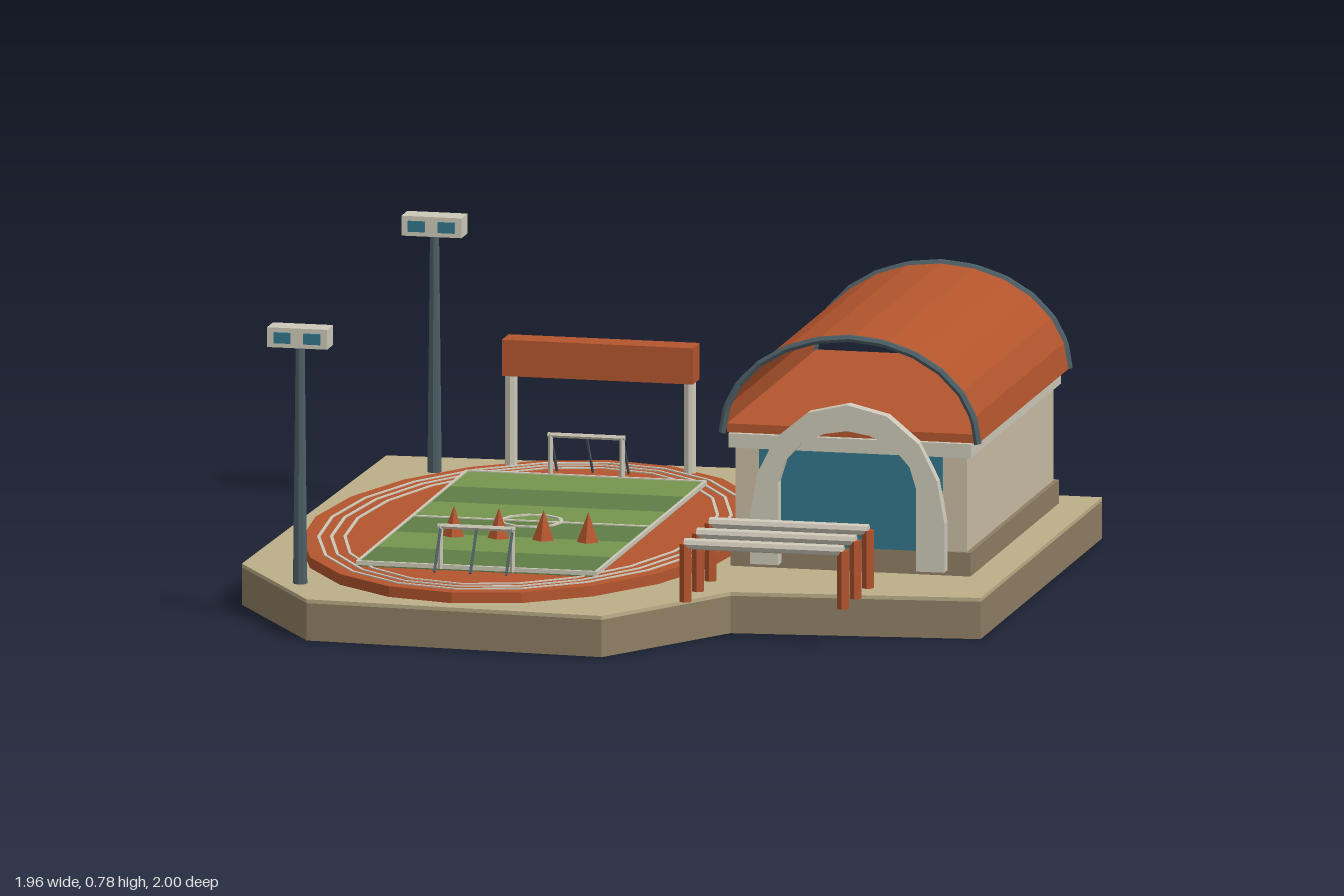
import * as THREE from 'three';

const mats = {};
function mat(color) {
  return mats[color] ??= new THREE.MeshStandardMaterial({ color, flatShading: true, side: THREE.DoubleSide });
}
const SAND = 0xbcae88, BROWN = 0x8f7e63, ORANGE = 0xb4552e, CREAM = 0xcdc8b8, WALL = 0xc9bda3;
const BLUE = 0x33758c, STEEL = 0x4d5f66, LIGHT = 0x77954f, DARK = 0x5e7d47;

function add(parent, name, geo, color, x = 0, y = 0, z = 0) {
  const m = new THREE.Mesh(geo, mat(color));
  m.name = name;
  m.position.set(x, y, z);
  parent.add(m);
  return m;
}

// box given by its limits on each axis
function block(parent, name, color, x0, x1, y0, y1, z0, z1) {
  return add(parent, name, new THREE.BoxGeometry(x1 - x0, y1 - y0, z1 - z0), color,
    (x0 + x1) / 2, (y0 + y1) / 2, (z0 + z1) / 2);
}

// round bar between two points
function bar(parent, name, color, a, b, r, r2 = r, sides = 8) {
  const p = new THREE.Vector3(...a), q = new THREE.Vector3(...b), d = q.clone().sub(p);
  const m = add(parent, name, new THREE.CylinderGeometry(r2, r, d.length(), sides), color);
  m.position.copy(p).add(q).multiplyScalar(0.5);
  m.quaternion.setFromUnitVectors(new THREE.Vector3(0, 1, 0), d.normalize());
  return m;
}

// flat outline in x and z, raised from y0 to y1
function plate(parent, name, color, pts, y0, y1, hole) {
  const flip = list => list.map(([x, z]) => new THREE.Vector2(x, -z));
  const shape = new THREE.Shape(flip(pts));
  if (hole) shape.holes.push(new THREE.Path(flip(hole)));
  const geo = new THREE.ExtrudeGeometry(shape, { depth: y1 - y0, bevelEnabled: false });
  geo.rotateX(-Math.PI / 2);
  return add(parent, name, geo, color, 0, y0, 0);
}

function oval(cx, cz, rx, rz, n) {
  return Array.from({ length: n }, (_, i) => {
    const a = i / n * Math.PI * 2;
    return [cx + rx * Math.cos(a), cz + rz * Math.sin(a)];
  });
}

function group(parent, name) {
  const g = new THREE.Group();
  g.name = name;
  parent.add(g);
  return g;
}

function buildField(root) {
  const g = group(root, 'sportsField'), cx = -0.335, cz = 0.018;
  plate(g, 'runningTrack', ORANGE, oval(cx, cz, 0.57, 0.9, 20), 0.105, 0.136);
  for (const d of [0.04, 0.073, 0.108])
    plate(g, 'laneLine', CREAM, oval(cx, cz, 0.57 - d, 0.9 - d, 20), 0.13, 0.139,
      oval(cx, cz, 0.562 - d, 0.892 - d, 20));

  // striped turf
  for (let i = 0; i < 6; i++) {
    const z = -0.6 + i * 0.2055;
    block(g, 'turfStripe', i % 2 ? DARK : LIGHT, -0.65, -0.02, 0.13, 0.148, z, z + 0.2055);
  }
  // field markings
  for (const z of [-0.6, 0.015, 0.633])
    block(g, 'crossLine', CREAM, -0.653, -0.017, 0.14, 0.151, z - 0.005, z + 0.005);
  for (const x of [-0.65, -0.02])
    block(g, 'sideLine', CREAM, x - 0.004, x + 0.004, 0.14, 0.151, -0.6, 0.633);
  plate(g, 'centreCircle', CREAM, oval(cx, 0.015, 0.085, 0.085, 10), 0.145, 0.152,
    oval(cx, 0.015, 0.075, 0.075, 10));

  // training cones
  for (const x of [-0.487, -0.368, -0.25, -0.132])
    add(g, 'trainingCone', new THREE.ConeGeometry(0.03, 0.078, 5), ORANGE, x, 0.187, 0.24);

  // goals with slanted stays
  for (const [z, s] of [[-0.603, -1], [0.636, 1]]) {
    const goal = group(g, 'goal');
    for (const x of [-0.43, -0.24])
      bar(goal, 'goalPost', CREAM, [x, 0.14, z], [x, 0.255, z], 0.007, 0.007, 6);
    bar(goal, 'crossbar', CREAM, [-0.437, 0.252, z], [-0.233, 0.252, z], 0.007, 0.007, 6);
    for (const x of [-0.43, -0.335, -0.24])
      bar(goal, 'goalStay', STEEL, [x, 0.25, z], [x, 0.145, z + s * 0.072], 0.004, 0.004, 5);
  }
}

function buildHall(root) {
  const g = group(root, 'sportsHall'), cx = 0.567;
  block(g, 'plinth', BROWN, 0.25, 0.885, 0.1, 0.17, -0.73, 0.27);
  block(g, 'walls', WALL, 0.262, 0.873, 0.17, 0.42, -0.72, 0.26);
  block(g, 'cornice', CREAM, 0.247, 0.888, 0.42, 0.457, -0.74, 0.28);
  block(g, 'roofDeck', ORANGE, 0.24, 0.895, 0.457, 0.48, -0.74, 0.265);

  // open barrel roof with rim tubes
  const roof = new THREE.CylinderGeometry(1, 1, 1.03, 12, 1, true, Math.PI / 2, Math.PI);
  roof.rotateX(-Math.PI / 2);
  roof.scale(0.338, 0.262, 1);
  const lift = new THREE.Box3().setFromBufferAttribute(roof.attributes.position);
  if (lift.max.y < 0.1) roof.rotateZ(Math.PI);
  add(g, 'barrelRoof', roof, ORANGE, cx, 0.457, -0.245);
  const arc = Array.from({ length: 13 }, (_, i) => {
    const a = i / 12 * Math.PI;
    return [cx + 0.338 * Math.cos(a), 0.457 + 0.262 * Math.sin(a)];
  });
  for (const z of [-0.757, 0.272]) {
    const rim = new THREE.CurvePath();
    for (let i = 0; i < 12; i++)
      rim.add(new THREE.LineCurve3(new THREE.Vector3(...arc[i], z), new THREE.Vector3(...arc[i + 1], z)));
    add(g, 'roofRim', new THREE.TubeGeometry(rim, 48, 0.01, 6), STEEL);
  }

  // entrance
  block(g, 'entranceDoor', BLUE, 0.327, 0.81, 0.17, 0.435, 0.25, 0.275);
  const half = [[0.257, 0.122], [0.257, 0.25], [0.238, 0.36], [0.19, 0.455], [0.105, 0.525], [0, 0.55]];
  const inner = [[0, 0.482], [0.06, 0.472], [0.12, 0.445], [0.165, 0.395], [0.182, 0.34], [0.182, 0.122]];
  const mirror = list => list.map(([x, y]) => [-x, y]).reverse();
  const outline = [...half, ...mirror(half).slice(1), ...mirror(inner), ...inner.slice(1)];
  const shape = new THREE.Shape(outline.map(p => new THREE.Vector2(...p)));
  add(g, 'entranceArch', new THREE.ExtrudeGeometry(shape, { depth: 0.036, bevelEnabled: false }), CREAM, cx, 0, 0.27);

  // rear windows
  for (const x of [cx - 0.145, cx + 0.145])
    for (const y of [0.238, 0.352]) {
      block(g, 'windowFrame', STEEL, x - 0.073, x + 0.073, y - 0.034, y + 0.034, -0.728, -0.71);
      block(g, 'windowPane', BLUE, x - 0.063, x + 0.063, y - 0.027, y + 0.027, -0.735, -0.71);
    }
}

export function createModel() {
  const root = new THREE.Group();
  root.name = 'sportsGround';

  // ground slab
  const outline = [[-0.945, -0.95], [0.13, -1], [0.4, -0.83], [0.975, -0.83], [0.975, 0.54],
    [0.33, 0.61], [0.08, 0.995], [-0.71, 0.953], [-0.98, 0.53]];
  plate(root, 'groundSlab', BROWN, outline, 0, 0.098);
  plate(root, 'groundTop', SAND, outline, 0.098, 0.108);

  buildField(root);
  buildHall(root);

  // scoreboard
  const score = group(root, 'scoreboard');
  block(score, 'board', ORANGE, -0.588, -0.083, 0.375, 0.47, -0.805, -0.73);
  for (const x of [-0.572, -0.1])
    bar(score, 'boardPost', CREAM, [x, 0.1, -0.767], [x, 0.385, -0.767], 0.016);

  // floodlights
  for (const z of [0.748, -0.768]) {
    const lamp = group(root, 'floodlight');
    bar(lamp, 'pole', STEEL, [-0.775, 0.1, z], [-0.775, 0.74, z], 0.019, 0.012);
    block(lamp, 'lampHead', CREAM, -0.855, -0.696, 0.73, 0.782, z - 0.035, z + 0.032);
    for (const x of [-0.815, -0.736])
      block(lamp, 'lampGlass', BLUE, x - 0.022, x + 0.022, 0.742, 0.77, z + 0.02, z + 0.038);
  }

  // exercise bars
  for (const z of [0.475, 0.617, 0.758]) {
    const rack = group(root, 'exerciseBar');
    for (const x of [0.246, 0.662])
      bar(rack, 'barPost', ORANGE, [x, 0.108, z], [x, 0.26, z], 0.016, 0.016, 6);
    bar(rack, 'rail', CREAM, [0.244, 0.26, z], [0.664, 0.26, z], 0.015);
  }
  return root;
}
